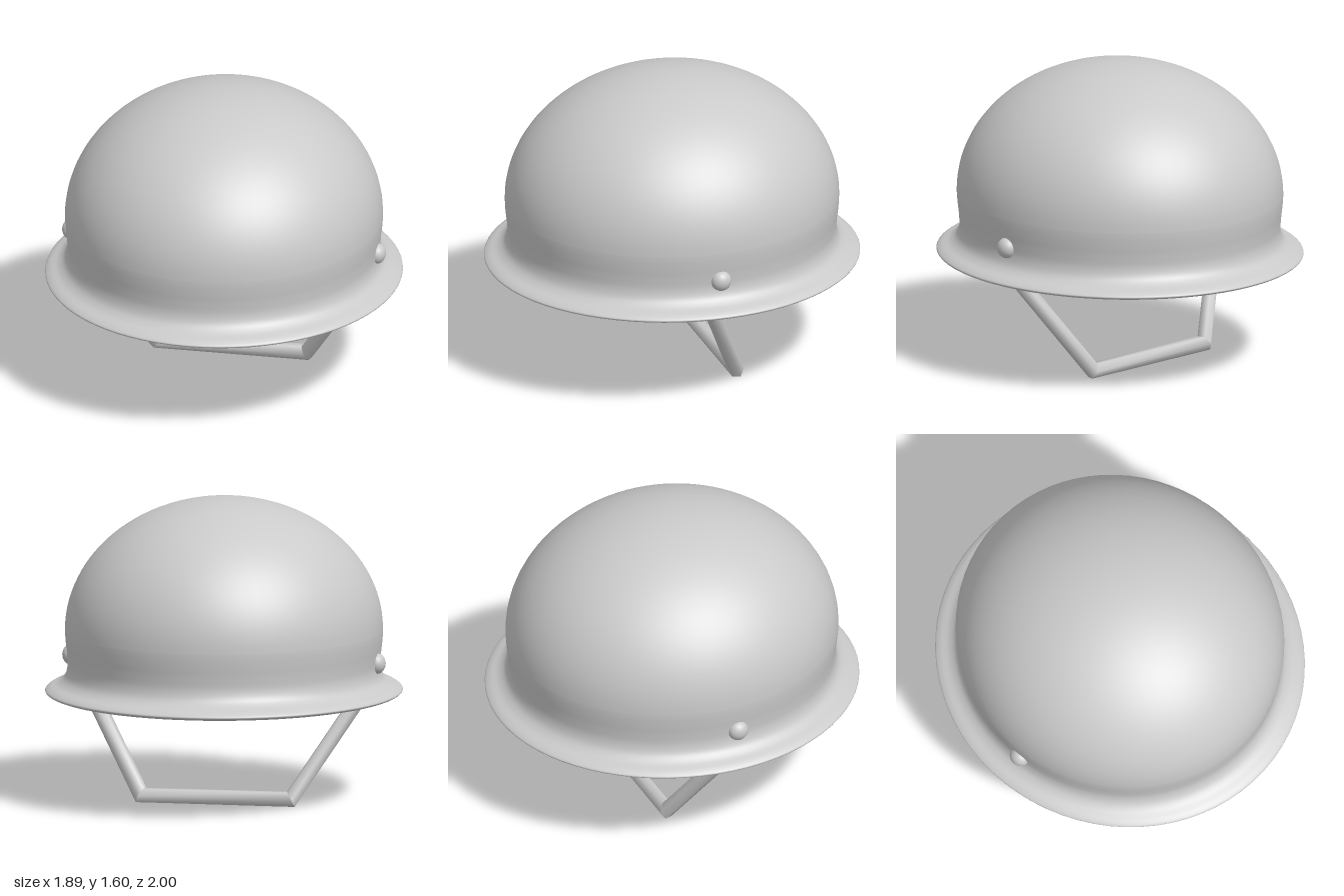
import * as THREE from 'three';

const WIDTH = 0.943; // the helmet is slightly narrower than it is long

function part(name, geometry, material) {
  const mesh = new THREE.Mesh(geometry, material);
  mesh.name = name;
  return mesh;
}

// Quarter ellipse from the widest ring (r, y) up to the crown
function dome(r, y, height, steps = 28) {
  return Array.from({ length: steps + 1 }, (_, i) => {
    const a = (i / steps) * Math.PI / 2;
    return new THREE.Vector2(i === steps ? 0 : r * Math.cos(a), y + height * Math.sin(a));
  });
}

function turned(name, points, material) {
  const mesh = part(name, new THREE.LatheGeometry(points, 72), material);
  mesh.scale.x = WIDTH;
  return mesh;
}

// Smooth tube section between two matching rings, running from left to right
function section(a, b) {
  const n = a.length, index = [];
  for (let i = 0; i < n; i++) {
    const j = (i + 1) % n;
    index.push(i, j, i + n, j, j + n, i + n);
  }
  const g = new THREE.BufferGeometry().setFromPoints([...a, ...b]);
  g.setIndex(index);
  g.computeVertexNormals();
  return g;
}

export function createModel() {
  const group = new THREE.Group();
  const grey = new THREE.MeshStandardMaterial({ color: 0xcacaca });
  grey.name = 'helmet grey';

  // Outer shell: gently curved underside, rolled brim, flared neck, dome
  const brim = new THREE.SplineCurve([[0.755, 0.552], [0.85, 0.553], [0.93, 0.556], [0.982, 0.565],
    [1.0, 0.58], [0.975, 0.6], [0.925, 0.622], [0.89, 0.655], [0.875, 0.705], [0.877, 0.765],
    [0.884, 0.825], [0.888, 0.87], [0.889, 0.9]].map(p => new THREE.Vector2(...p))).getPoints(72);
  group.add(turned('shell', [...brim, ...dome(0.889, 0.9, 0.704).slice(1)], grey));

  // Hollow interior, a bowl rising straight from the inner edge of the brim
  group.add(turned('interior', dome(0.755, 0.552, 0.94).reverse(), grey));

  // Chin strap: hexagonal tube with mitred corners
  const corner = new THREE.Vector3(0.403, 0.0368, -0.219);
  const anchor = new THREE.Vector3(0.764, 0.615, 0.058);
  const leg = anchor.clone().sub(corner);
  const mitre = leg.clone().normalize().add(new THREE.Vector3(1, 0, 0));
  const left = Array.from({ length: 6 }, (_, i) => {
    const a = (i * Math.PI) / 3;
    const o = new THREE.Vector3(0, 0.0425 * Math.sin(a), 0.0425 * Math.cos(a));
    o.x = -o.dot(mitre) / mitre.x;
    return o.add(corner);
  });
  const top = left.map(p => p.clone().add(leg));
  const flip = ring => ring.map(p => new THREE.Vector3(-p.x, p.y, p.z));
  const strap = new THREE.Group();
  strap.name = 'chinStrap';
  strap.add(
    part('leftStrap', section(top, left), grey),
    part('chinBar', section(left, flip(left)), grey),
    part('rightStrap', section(flip(left), flip(top)), grey));
  group.add(strap);

  // Side rivets
  for (const side of [1, -1]) {
    const rivet = part(side > 0 ? 'leftRivet' : 'rightRivet',
      new THREE.SphereGeometry(0.055, 24, 16), grey);
    rivet.scale.x = 0.85;
    rivet.position.set(side * 0.823, 0.742, 0);
    group.add(rivet);
  }
  return group;
}
